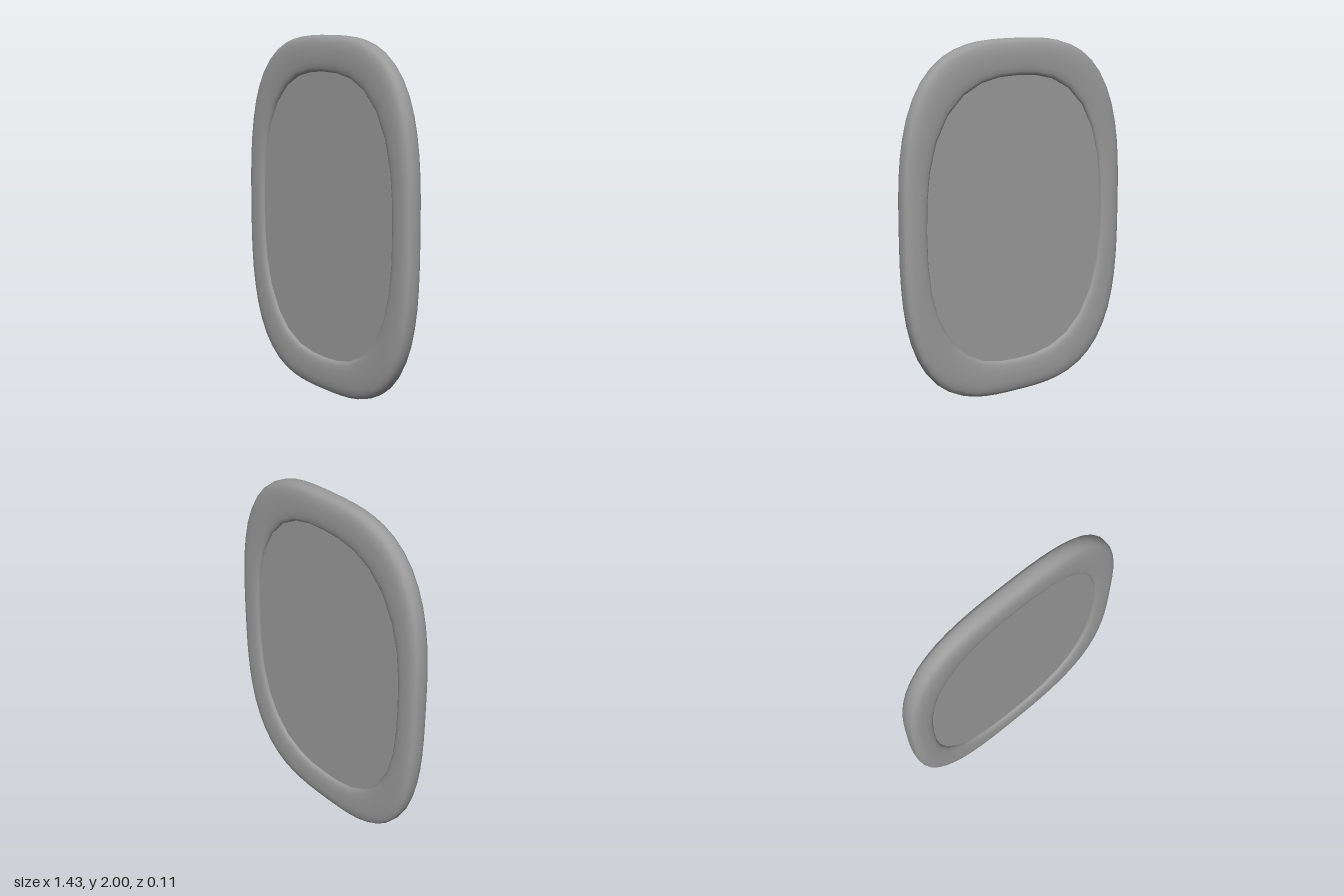
import * as THREE from 'three';

const SEGMENTS = 64;
const CENTER_Y = 1;

// Point on a superellipse of half-width a, half-height b and squareness n
function ovalPoint(a, b, n, i) {
  const t = (i / SEGMENTS) * Math.PI * 2;
  const c = Math.cos(t), s = Math.sin(t);
  const r = Math.pow(Math.abs(c) ** n + Math.abs(s) ** n, -1 / n);
  return new THREE.Vector2(a * c * r, b * s * r);
}

// The opening has half as many corners: odd points sit midway along its sides
function innerPoint(i) {
  const corner = (k) => ovalPoint(0.577, 0.803, 2.58, k);
  return i % 2 ? corner(i - 1).lerp(corner(i + 1), 0.5) : corner(i);
}
const outerPoint = (i) => ovalPoint(0.715, 1, 3.05, i);

// Rounded frame: a cross-section swept between the inner and outer ovals
function frameGeometry() {
  // [fraction from inner to outer edge, depth], front half
  const half = [
    [0, 0.02], [0, 0.033], [0.03, 0.043], [0.1, 0.05], [0.24, 0.0545], [0.42, 0.056],
    [0.6, 0.0555], [0.74, 0.053], [0.86, 0.047], [0.94, 0.038], [0.985, 0.024],
  ];
  const back = half.map(([t, z]) => [t, -z]).reverse();
  const profile = [...half, [1, 0], ...back];
  const positions = [], indices = [];
  const count = profile.length;
  for (let i = 0; i < SEGMENTS; i++) {
    const inner = innerPoint(i), outer = outerPoint(i);
    for (const [t, z] of profile) {
      const p = inner.clone().lerp(outer, t);
      positions.push(p.x, p.y, z);
    }
  }
  for (let i = 0; i < SEGMENTS; i++) {
    const next = (i + 1) % SEGMENTS;
    for (let j = 0; j < count; j++) {
      const k = (j + 1) % count;
      const a = i * count + j, b = i * count + k;
      const c = next * count + k, d = next * count + j;
      indices.push(a, b, c, a, c, d);
    }
  }
  const geometry = new THREE.BufferGeometry();
  geometry.setAttribute('position', new THREE.Float32BufferAttribute(positions, 3));
  geometry.setIndex(indices);
  geometry.computeVertexNormals();
  return geometry;
}

// Flat slab, its edge tucked into the frame
function panelGeometry() {
  const points = [];
  for (let i = 0; i < SEGMENTS; i += 2) points.push(innerPoint(i).multiplyScalar(1.02));
  const geometry = new THREE.ExtrudeGeometry(new THREE.Shape(points), { depth: 0.06, bevelEnabled: false });
  geometry.translate(0, 0, -0.03);
  return geometry;
}

export function createModel() {
  const group = new THREE.Group();
  group.name = 'framedPanel';
  const material = new THREE.MeshStandardMaterial({ color: 0x9c9c9c });

  const frame = new THREE.Mesh(frameGeometry(), material);
  frame.name = 'frame';
  const panel = new THREE.Mesh(panelGeometry(), material);
  panel.name = 'panel';

  for (const part of [frame, panel]) {
    part.position.y = CENTER_Y;
    group.add(part);
  }
  return group;
}
